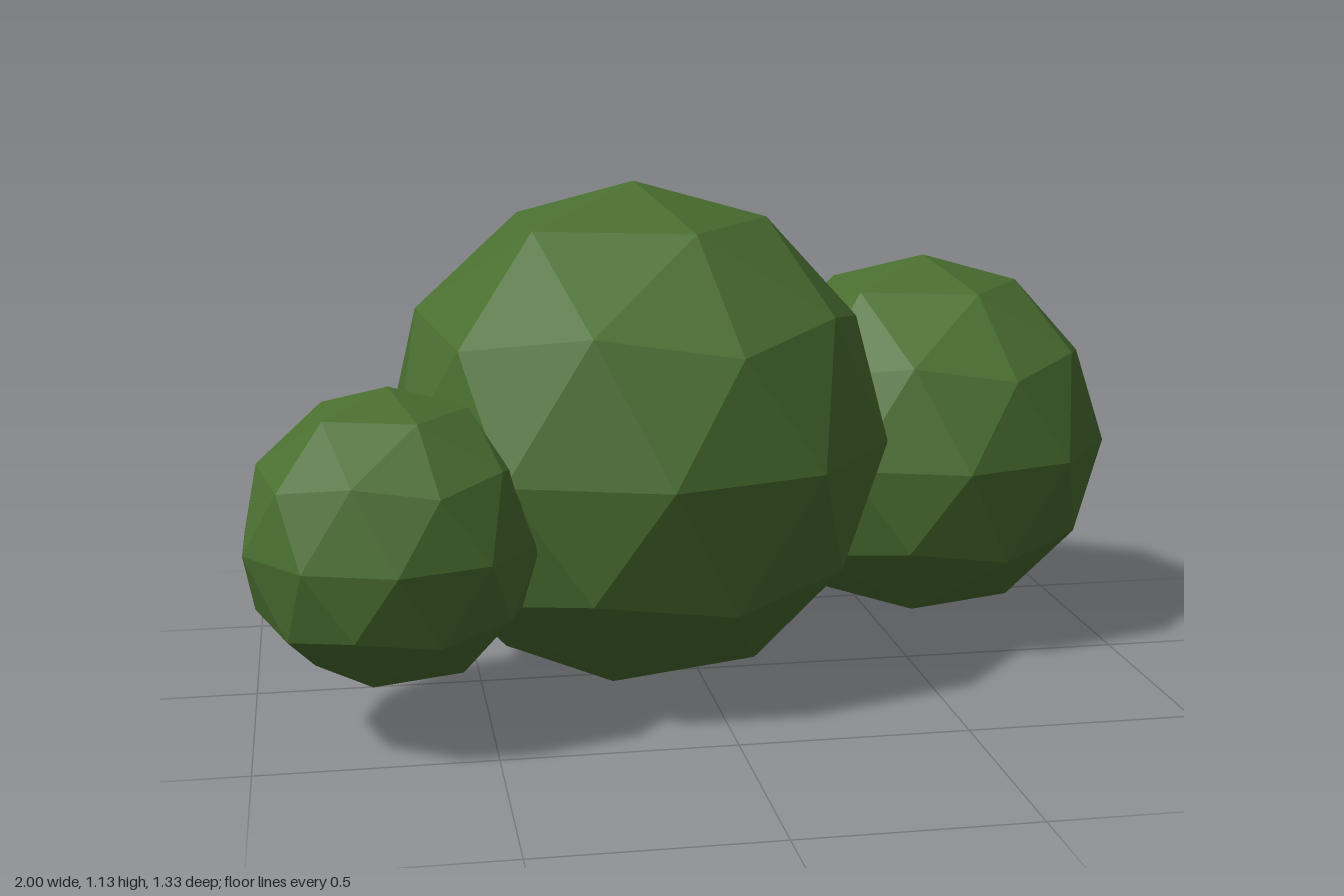
import * as THREE from 'three';

export function createModel() {
  const group = new THREE.Group();
  group.name = 'bush';

  const leafGreen = new THREE.MeshStandardMaterial({ color: 0x4a6e30, flatShading: true });
  leafGreen.name = 'leafGreen';

  // Faceted ball turned so that one corner points straight up
  const ball = new THREE.IcosahedronGeometry(1, 1);
  ball.rotateZ(-Math.atan(2 / (1 + Math.sqrt(5))));

  // Leaf clumps: name, radius, centre
  const clumps = [
    ['mainClump', 0.566, [-0.145, 0.566, 0.012]],
    ['leftClump', 0.436, [0.584, 0.483, -0.231]],
    ['rightClump', 0.316, [-0.7, 0.443, 0.346]],
  ];
  for (const [name, radius, centre] of clumps) {
    const mesh = new THREE.Mesh(ball, leafGreen);
    mesh.name = name;
    mesh.scale.setScalar(radius);
    mesh.position.set(...centre);
    group.add(mesh);
  }
  return group;
}
